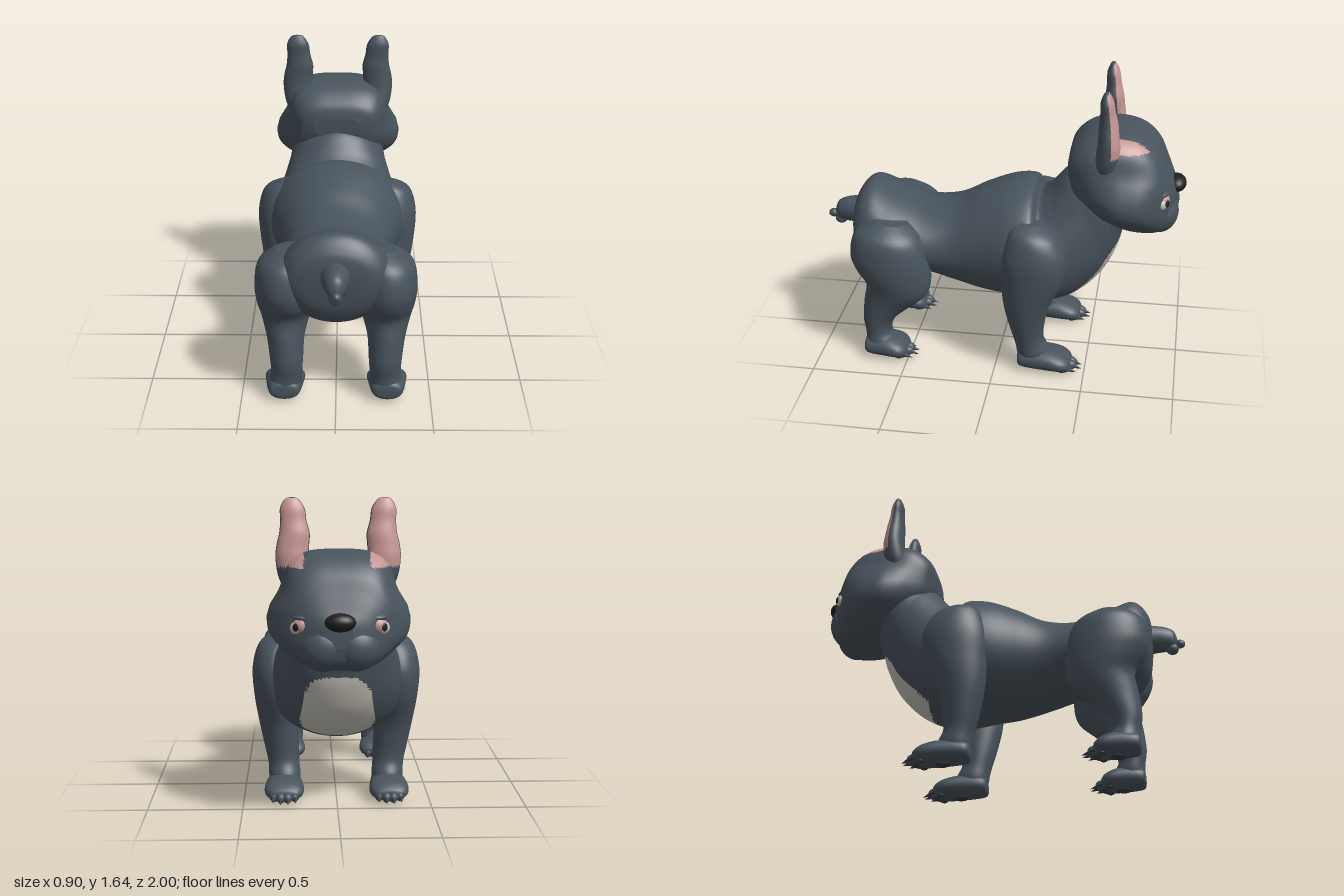
import * as THREE from 'three';

const mat = (name, color) => {
  const m = new THREE.MeshStandardMaterial({ color });
  m.name = name;
  return m;
};

// Catmull-Rom blend of whole number rows
function sampleRows(rows, t) {
  const f = t * (rows.length - 1);
  const i = Math.min(Math.floor(f), rows.length - 2);
  const u = f - i;
  const at = (k) => rows[Math.max(0, Math.min(rows.length - 1, k))];
  const [p, a, b, q] = [at(i - 1), at(i), at(i + 1), at(i + 2)];
  return a.map((_, k) => {
    const m0 = (b[k] - p[k]) / 2, m1 = (q[k] - a[k]) / 2;
    return (2 * u ** 3 - 3 * u * u + 1) * a[k] + (u ** 3 - 2 * u * u + u) * m0 +
      (3 * u * u - 2 * u ** 3) * b[k] + (u ** 3 - u * u) * m1;
  });
}

// Closed skin over rings; each ring is [z1, y1, z2, y2, xCentre, halfWidth],
// the two points being opposite ends of the ring in the side plane.
// widen(y, z) scales x; paint(centroid, normal) marks faces for the second material.
function loft(rows, { power = 2, steps = 6, segs = 40, widen = () => 1, paint = null } = {}) {
  const pos = [], idx = [];
  const n = (rows.length - 1) * steps;
  const bend = (v) => Math.sign(v) * Math.abs(v) ** (2 / power);
  for (let i = 0; i <= n; i++) {
    const [z1, y1, z2, y2, xc, w] = sampleRows(rows, i / n);
    for (let j = 0; j < segs; j++) {
      const a = (j / segs) * Math.PI * 2;
      const c = bend(Math.cos(a)), s = bend(Math.sin(a));
      const y = (y1 + y2) / 2 + s * (y1 - y2) / 2, z = (z1 + z2) / 2 + s * (z1 - z2) / 2;
      pos.push(xc + w * c * widen(y, z), y, z);
    }
  }
  for (let i = 0; i < n; i++) for (let j = 0; j < segs; j++) {
    const k = (j + 1) % segs;
    const a = i * segs + j, b = i * segs + k, c = a + segs, d = b + segs;
    idx.push([a, b, d], [a, d, c]);
  }
  for (const [row, base, flip] of [[rows[0], 0, true], [rows[rows.length - 1], n * segs, false]]) {
    const mid = pos.length / 3;
    pos.push(row[4], (row[1] + row[3]) / 2, (row[0] + row[2]) / 2);
    for (let j = 0; j < segs; j++) {
      const a = base + j, b = base + (j + 1) % segs;
      idx.push(flip ? [b, a, mid] : [a, b, mid]);
    }
  }
  // turn the skin outwards
  const v = (k) => new THREE.Vector3().fromArray(pos, k * 3);
  let volume = 0;
  for (const [a, b, c] of idx) volume += v(a).dot(v(b).cross(v(c)));
  if (volume < 0) idx.forEach((t) => t.reverse());

  const marked = (t) => {
    const [a, b, c] = t.map(v);
    const normal = b.clone().sub(a).cross(c.clone().sub(a)).normalize();
    return paint(a.add(b).add(c).divideScalar(3), normal);
  };
  const second = paint ? idx.filter(marked) : [];
  const set = new Set(second);
  const first = idx.filter((t) => !set.has(t));
  const geo = new THREE.BufferGeometry();
  geo.setAttribute('position', new THREE.Float32BufferAttribute(pos, 3));
  geo.setIndex([...first, ...second].flat());
  if (paint) {
    geo.addGroup(0, first.length * 3, 0);
    geo.addGroup(first.length * 3, second.length * 3, 1);
  }
  geo.computeVertexNormals();
  return geo;
}

export function createModel() {
  const coat = mat('slate coat', 0x48535c);
  const pink = mat('pink skin', 0xc49491);
  const cream = mat('cream chest', 0xc6c2b8);
  const black = mat('black nose', 0x211f20);
  const claw = mat('dark claw', 0x363b40);
  const dog = new THREE.Group();
  dog.name = 'dog';

  const add = (name, geo, material, parent = dog) => {
    const m = new THREE.Mesh(geo, material);
    m.name = name;
    parent.add(m);
    return m;
  };
  const blob = (name, p, r, material, parent) => {
    const m = add(name, new THREE.SphereGeometry(1, 28, 20), material, parent);
    m.position.set(...p);
    m.scale.set(...r);
  };

  // Torso and neck, from rump to throat
  add('torso', loft([
    [0.83, 0.79, 0.825, 0.70, 0, 0.05],
    [0.81, 0.90, 0.80, 0.57, 0, 0.21],
    [0.73, 0.98, 0.73, 0.48, 0, 0.28],
    [0.60, 0.93, 0.60, 0.46, 0, 0.31],
    [0.43, 0.87, 0.42, 0.47, 0, 0.295],
    [0.25, 0.895, 0.27, 0.42, 0, 0.285],
    [0.10, 0.97, 0.10, 0.375, 0, 0.322],
    [-0.05, 1.025, -0.05, 0.36, 0, 0.37],
    [-0.17, 1.03, -0.18, 0.345, 0, 0.392],
    [-0.21, 0.97, -0.32, 0.355, 0, 0.38],
    [-0.27, 1.01, -0.45, 0.41, 0, 0.345],
    [-0.32, 1.07, -0.57, 0.53, 0, 0.31],
    [-0.37, 1.12, -0.64, 0.67, 0, 0.28],
    [-0.45, 1.15, -0.67, 0.78, 0, 0.26],
    [-0.60, 1.10, -0.70, 0.85, 0, 0.20],
  ], {
    segs: 80, steps: 10,
    // chest blaze, broader towards the belly
    paint: (p) => p.z < -0.38 && p.y < 0.74 &&
      (Math.abs(p.x) / (0.185 + 0.15 * (0.56 - p.y))) ** 3 + (Math.abs(p.y - 0.56) / 0.185) ** 4 < 1,
  }), [coat, cream]);

  // Head, swelling into the cheeks
  const head = new THREE.Group();
  head.name = 'head';
  dog.add(head);
  add('skull', loft([
    [-0.365, 1.20, -0.37, 1.10, 0, 0.13],
    [-0.385, 1.28, -0.42, 1.00, 0, 0.22],
    [-0.46, 1.35, -0.52, 0.93, 0, 0.274],
    [-0.56, 1.385, -0.62, 0.87, 0, 0.286],
    [-0.66, 1.388, -0.70, 0.83, 0, 0.284],
    [-0.76, 1.36, -0.78, 0.815, 0, 0.27],
    [-0.84, 1.29, -0.85, 0.815, 0, 0.24],
    [-0.885, 1.20, -0.90, 0.83, 0, 0.195],
    [-0.925, 1.11, -0.94, 0.87, 0, 0.135],
    [-0.95, 1.06, -0.955, 0.94, 0, 0.06],
  ], {
    power: 3.3, segs: 80, steps: 9,
    widen: (y, z) => 1 + 0.27 *
      Math.exp(-(Math.abs((y - 1.03) / 0.135) ** 3) - Math.abs((z + 0.69) / 0.18) ** 3),
    paint: (p) => (p.x > 0.175 || p.x < -0.155) && p.y > 1.31 && p.z < -0.6 && p.z > -0.815,
  }), [coat, pink], head);
  blob('nose', [0, 1.065, -0.945], [0.076, 0.046, 0.052], black, head);

  for (const s of [-1, 1]) {
    blob('jowl', [s * 0.078, 0.933, -0.857], [0.125, 0.122, 0.108], coat, head);

    // Eye with pink inner corner and a thin pupil, looking forward and outward
    const eye = new THREE.Group();
    eye.name = 'eye';
    eye.position.set(s * 0.192, 1.036, -0.865);
    eye.rotation.y = Math.PI - s * 0.65;
    eye.scale.setScalar(0.95);
    head.add(eye);
    blob('eyeRim', [s * 0.008, 0.006, 0], [0.05, 0.047, 0.046], pink, eye);
    blob('eyeball', [-s * 0.01, -0.006, 0.008], [0.041, 0.04, 0.041], cream, eye);
    blob('pupil', [s * 0.004, 0, 0.047], [0.018, 0.021, 0.005], black, eye);
    blob('brow', [0, 0.046, -0.016], [0.065, 0.024, 0.055], coat, eye);

    // Upright ear, pink on the forward face
    add('ear', loft([
      [-0.61, 1.14, -0.51, 1.14, s * 0.20, 0.05],
      [-0.64, 1.24, -0.51, 1.24, s * 0.222, 0.078],
      [-0.645, 1.34, -0.525, 1.34, s * 0.232, 0.084],
      [-0.637, 1.41, -0.53, 1.41, s * 0.228, 0.082],
      [-0.63, 1.47, -0.53, 1.46, s * 0.22, 0.077],
      [-0.615, 1.53, -0.535, 1.53, s * 0.225, 0.066],
      [-0.605, 1.59, -0.535, 1.59, s * 0.23, 0.062],
      [-0.585, 1.635, -0.55, 1.635, s * 0.233, 0.036],
      [-0.57, 1.645, -0.56, 1.645, s * 0.233, 0.01],
    ], { paint: (p, n) => n.z < -0.4 && p.y > 1.3 }), [coat, pink], head);
  }

  // Paw with four toes and claws, pointing to -z
  const addPaw = (parent, x, z, len) => {
    const paw = new THREE.Group();
    paw.name = 'paw';
    paw.position.set(x, 0, z);
    parent.add(paw);
    add('foot', loft([
      [len, 0.09, len, 0.05, 0, 0.035],
      [len * 0.85, 0.125, len * 0.85, 0.022, 0, 0.08],
      [0, 0.138, 0, 0.012, 0, 0.1],
      [-len * 0.6, 0.118, -len * 0.6, 0.014, 0, 0.105],
      [-len * 0.92, 0.09, -len * 0.92, 0.022, 0, 0.08],
      [-len, 0.07, -len, 0.04, 0, 0.045],
    ], { power: 2.2 }), coat, paw);
    for (let i = 0; i < 4; i++) {
      const o = i - 1.5;
      const tz = -len + 0.014 * o * o;
      blob('toe', [o * 0.036, 0.045, tz], [0.026, 0.028, 0.035], coat, paw);
      const c = add('claw', new THREE.ConeGeometry(0.014, 0.05, 10), claw, paw);
      c.position.set(o * 0.04, 0.032, tz - 0.042);
      c.rotation.x = -Math.PI / 2 - 0.3;
      blob('toePad', [o * 0.036, 0.022, tz + 0.015], [0.016, 0.012, 0.02], claw, paw);
    }
    blob('pad', [0, 0.014, 0], [0.04, 0.008, 0.04], claw, paw);
  };

  for (const s of [-1, 1]) {
    const front = new THREE.Group();
    front.name = 'frontLeg';
    dog.add(front);
    add('foreleg', loft([
      [-0.25, 0.90, -0.13, 0.91, s * 0.26, 0.06],
      [-0.33, 0.84, -0.08, 0.86, s * 0.312, 0.10],
      [-0.385, 0.72, -0.04, 0.72, s * 0.332, 0.118],
      [-0.37, 0.58, -0.04, 0.56, s * 0.328, 0.115],
      [-0.30, 0.42, -0.05, 0.42, s * 0.315, 0.105],
      [-0.275, 0.30, -0.08, 0.28, s * 0.298, 0.095],
      [-0.27, 0.20, -0.11, 0.17, s * 0.285, 0.085],
      [-0.30, 0.13, -0.125, 0.09, s * 0.28, 0.085],
      [-0.30, 0.07, -0.15, 0.04, s * 0.28, 0.065],
    ]), coat, front);
    addPaw(front, s * 0.282, -0.275, 0.15);

    const rear = new THREE.Group();
    rear.name = 'rearLeg';
    dog.add(rear);
    add('hindleg', loft([
      [0.50, 0.83, 0.68, 0.85, s * 0.22, 0.09],
      [0.42, 0.76, 0.78, 0.78, s * 0.26, 0.14],
      [0.38, 0.64, 0.81, 0.65, s * 0.268, 0.155],
      [0.365, 0.51, 0.785, 0.56, s * 0.26, 0.155],
      [0.39, 0.41, 0.73, 0.47, s * 0.265, 0.128],
      [0.48, 0.33, 0.745, 0.36, s * 0.265, 0.10],
      [0.57, 0.25, 0.757, 0.24, s * 0.26, 0.088],
      [0.60, 0.17, 0.745, 0.15, s * 0.26, 0.082],
      [0.58, 0.12, 0.74, 0.08, s * 0.268, 0.085],
      [0.59, 0.07, 0.70, 0.04, s * 0.27, 0.065],
    ]), coat, rear);
    addPaw(rear, s * 0.272, 0.625, 0.122);
  }

  // Stubby tail with a knobbly tip
  add('tail', loft([
    [0.76, 0.87, 0.76, 0.68, 0, 0.09],
    [0.83, 0.855, 0.83, 0.70, 0, 0.075],
    [0.89, 0.845, 0.89, 0.705, 0, 0.062],
    [0.94, 0.82, 0.93, 0.71, 0, 0.045],
    [0.96, 0.77, 0.95, 0.72, 0, 0.02],
  ]), coat);
  blob('tailKnob', [0, 0.715, 0.93], [0.034, 0.032, 0.034], coat);
  blob('tailTip', [0.005, 0.745, 0.972], [0.024, 0.024, 0.028], coat);

  return dog;
}
